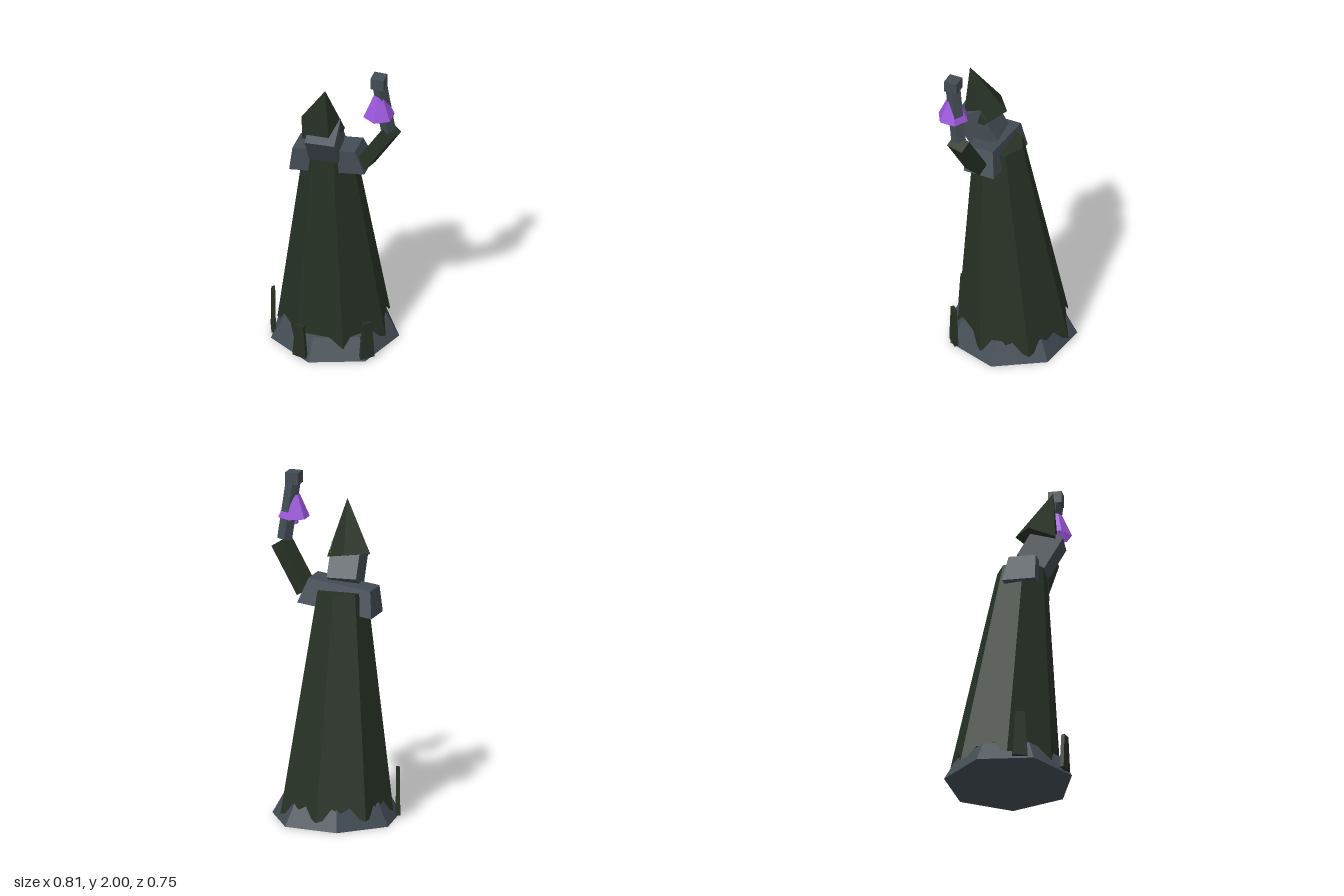
import * as THREE from 'three';

const mat = (name, color, side = THREE.FrontSide) => {
  const m = new THREE.MeshStandardMaterial({ color, side, flatShading: true });
  m.name = name;
  return m;
};

export function createModel() {
  const model = new THREE.Group();
  const cloth = mat('dark green cloth', 0x273125, THREE.DoubleSide);
  const stone = mat('slate grey', 0x434c54);
  const purple = mat('bell purple', 0x9c56da, THREE.DoubleSide);

  const add = (name, geometry, material, x = 0, y = 0, z = 0) => {
    const mesh = new THREE.Mesh(geometry, material);
    mesh.name = name;
    mesh.position.set(x, y, z);
    model.add(mesh);
    return mesh;
  };

  // Box whose upper half is scaled and shifted
  const taperedBox = (w, h, d, sx, sz, dz = 0) => {
    const g = new THREE.BoxGeometry(w, h, d);
    const p = g.attributes.position;
    for (let i = 0; i < p.count; i++) {
      if (p.getY(i) > 0) p.setXYZ(i, p.getX(i) * sx, p.getY(i), p.getZ(i) * sz + dz);
    }
    g.computeVertexNormals();
    return g;
  };

  // Box running from a to b, its broad face turned toward the facing direction
  const limb = (name, a, b, w, d, facing, material) => {
    const from = new THREE.Vector3(...a), to = new THREE.Vector3(...b);
    const y = to.clone().sub(from);
    const length = y.length();
    y.normalize();
    const x = y.clone().cross(new THREE.Vector3(...facing)).normalize();
    const z = x.clone().cross(y);
    const mesh = add(name, new THREE.BoxGeometry(w, length, d), material);
    mesh.quaternion.setFromRotationMatrix(new THREE.Matrix4().makeBasis(x, y, z));
    mesh.position.copy(from).add(to).multiplyScalar(0.5);
    return mesh;
  };

  // Rocky plinth
  add('base', new THREE.CylinderGeometry(0.312, 0.384, 0.13, 7, 1, false, -0.1), stone, -0.037, 0.065, -0.011);

  // Seven-sided robe leaning forward, with a ragged hem
  const sides = 7, hemY = 0.05, topY = 1.35;
  const corner = (i, top) => {
    const a = Math.PI + (i / sides) * Math.PI * 2, r = top ? 0.15 : 0.34;
    return new THREE.Vector3(-0.04 + r * Math.sin(a), top ? topY : hemY, (top ? 0.07 : -0.035) + r * Math.cos(a));
  };
  const hem = [[0, 0], [0.13, 0.01], [0.3, 0.075], [0.5, 0.05], [0.68, 0.08], [0.87, 0.015], [1, 0]];
  const verts = [];
  const tri = (...points) => points.forEach((p) => verts.push(p.x, p.y, p.z));
  const topCentre = new THREE.Vector3(-0.04, topY, 0.07);
  for (let i = 0; i < sides; i++) {
    const at = ([f, rise]) => {
      const top = corner(i, true).lerp(corner(i + 1, true), f);
      const low = corner(i, false).lerp(corner(i + 1, false), f);
      return { top, low: low.lerp(top, rise / (topY - hemY)) };
    };
    for (let k = 0; k < hem.length - 1; k++) {
      const a = at(hem[k]), b = at(hem[k + 1]);
      tri(a.low, b.low, b.top);
      tri(a.low, b.top, a.top);
    }
    tri(corner(i, true), corner(i + 1, true), topCentre);
  }
  const robe = new THREE.BufferGeometry();
  robe.setAttribute('position', new THREE.Float32BufferAttribute(verts, 3));
  robe.computeVertexNormals();
  add('robe', robe, cloth);

  // Tilted shoulder block
  const shoulders = add('shoulders', taperedBox(0.465, 0.152, 0.195, 0.83, 0.82, 0.017), stone, -0.032, 1.315, 0.087);
  shoulders.rotation.z = 0.128;

  // Bowed head
  const head = add('head', new THREE.BoxGeometry(0.178, 0.22, 0.185), stone, -0.034, 1.47, 0.183);
  head.rotation.set(0.53, 0.08, 0, 'YXZ');

  // Pointed hood
  const hood = add('hood', new THREE.ConeGeometry(0.14, 0.335, 5, 1, false, Math.PI + 0.02), cloth, -0.036, 1.695, 0.208);
  hood.rotation.set(0.24, 0, -0.15);

  // Raised left arm
  limb('sleeve', [0.192, 1.315, 0.112], [0.363, 1.588, 0.146], 0.08, 0.11, [-0.28, 0, 0.96], cloth);
  limb('forearm', [0.345, 1.6, 0.152], [0.31, 1.945, 0.205], 0.062, 0.062, [-0.5, 0, 0.87], stone);
  add('hand', new THREE.BoxGeometry(0.08, 0.072, 0.08), stone, 0.306, 1.964, 0.205);

  // Bell and clapper
  add('bell', new THREE.CylinderGeometry(0.035, 0.094, 0.135, 6, 1, true), purple, 0.306, 1.793, 0.205);
  add('bellTop', new THREE.CylinderGeometry(0.035, 0.035, 0.004, 6), purple, 0.306, 1.859, 0.205);
  add('clapper', new THREE.CylinderGeometry(0.026, 0.026, 0.07, 6), purple, 0.306, 1.72, 0.205);

  // Upright shards around the plinth: x, z, height, yaw
  const shards = [[-0.372, 0.117, 0.28, -1.2], [-0.135, 0.34, 0.215, -0.25], [0.24, 0.232, 0.245, 0.78]];
  for (const [x, z, h, yaw] of shards) {
    add('shard', taperedBox(0.09, h, 0.026, 0.6, 0.8), cloth, x, 0.015 + h / 2, z).rotation.y = yaw;
  }

  return model;
}
